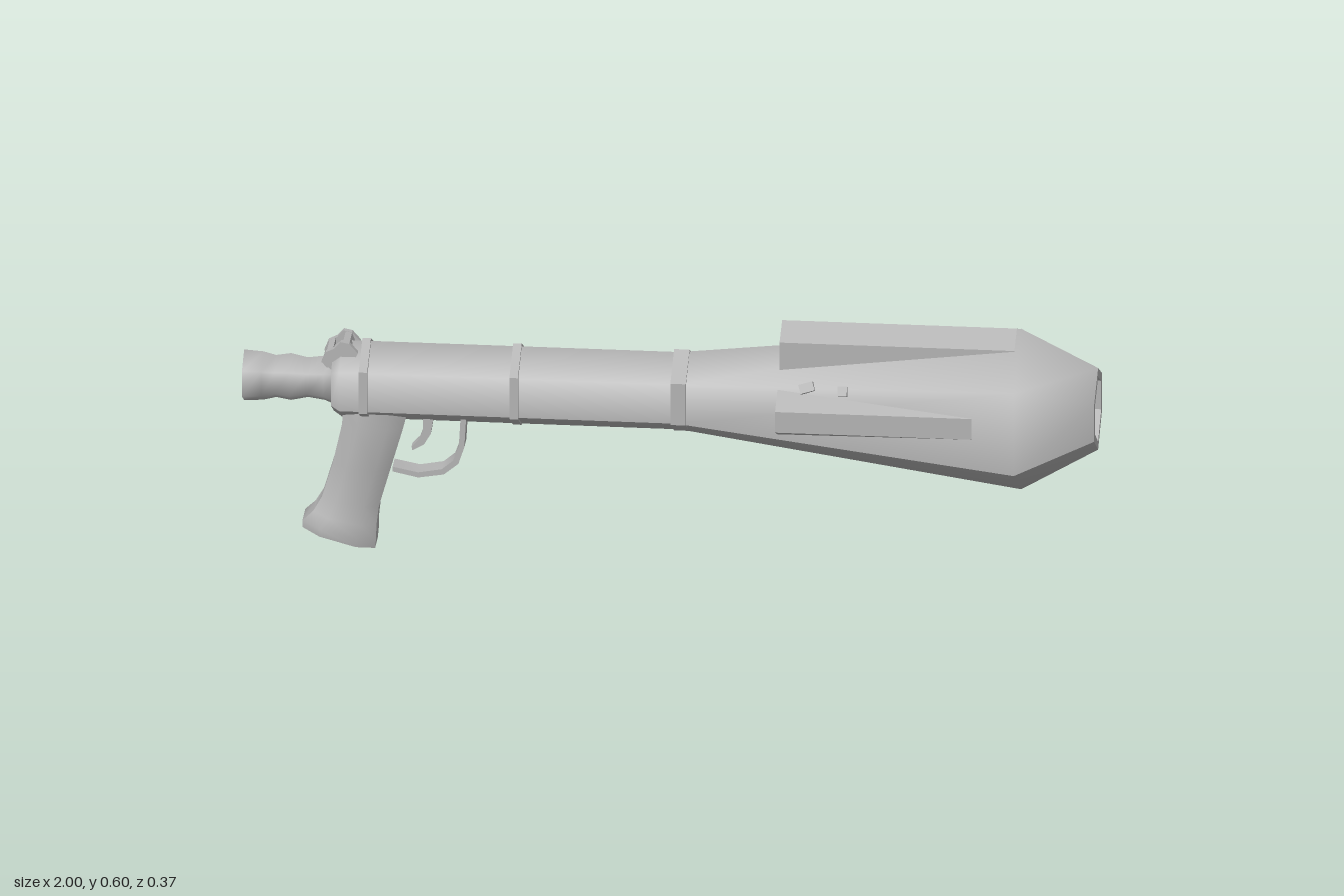
import * as THREE from 'three';
import { toCreasedNormals } from 'three/addons/utils/BufferGeometryUtils.js';

// Skin a list of rings; closed rings wrap round, caps fill the two ends.
// Without a crease angle the normals are smooth.
function loft(rings, { closed = true, capStart = false, capEnd = false, crease } = {}) {
  const n = rings[0].length;
  const index = [];
  for (let i = 0; i < rings.length - 1; i++) {
    for (let j = 0; j < (closed ? n : n - 1); j++) {
      const k = (j + 1) % n;
      const a = i * n + j, b = a + n, c = (i + 1) * n + k, d = i * n + k;
      index.push(a, b, c, a, c, d);
    }
  }
  const last = (rings.length - 1) * n;
  for (let j = 1; j < n - 1; j++) {
    if (capStart) index.push(0, j, j + 1);
    if (capEnd) index.push(last, last + j + 1, last + j);
  }
  const geo = new THREE.BufferGeometry();
  geo.setAttribute('position', new THREE.Float32BufferAttribute(rings.flat(2), 3));
  geo.setIndex(index);
  if (crease !== undefined) return toCreasedNormals(geo, crease);
  geo.computeVertexNormals();
  return geo;
}

// Six-sided ring across x: top, upper side, lower side, bottom, half width
const hex = ([x, top, upper, lower, bottom, z]) => [
  [x, lower, z], [x, upper, z], [x, top, 0],
  [x, upper, -z], [x, lower, -z], [x, bottom, 0],
];
const regularHex = (x, r, y = 0.413) =>
  hex([x, y + r, y + r / 2, y - r / 2, y - r, r * 0.866]);

// Side outline in x and y, extruded evenly to both sides of z
function plate(points, halfZ, z = 0) {
  const shape = new THREE.Shape(points.map(([x, y]) => new THREE.Vector2(x, y)));
  const geo = new THREE.ExtrudeGeometry(shape, { depth: 2 * halfZ, bevelEnabled: false });
  geo.translate(0, 0, z - halfZ);
  return toCreasedNormals(geo, 0.6);
}

export function createModel() {
  const model = new THREE.Group();
  const grey = new THREE.MeshStandardMaterial({ color: 0xb4b4b4, side: THREE.DoubleSide });
  grey.name = 'plain grey';
  const add = (name, geo) => {
    const mesh = new THREE.Mesh(geo, grey);
    mesh.name = name;
    model.add(mesh);
    return mesh;
  };

  // Tube and flared head: smooth upper shell, sharp line, smooth keel
  const body = [
    regularHex(-0.79, 0.082), regularHex(-0.77, 0.097),
    hex([0.02, 0.51, 0.462, 0.364, 0.315, 0.085]),
    hex([0.82, 0.6, 0.512, 0.305, 0.195, 0.187]),
    hex([1, 0.508, 0.455, 0.362, 0.302, 0.098]),
  ];
  add('upperShell', loft(body.map((r) => r.slice(0, 5)), { closed: false }));
  add('lowerShell', loft(body.map((r) => [r[4], r[5], r[0]]), { closed: false }));
  add('rearPlate', loft([regularHex(-0.79, 0.05), regularHex(-0.79, 0.082)].reverse(), { crease: 0.5 }));

  // Recessed muzzle
  add('muzzle', loft([
    hex([1, 0.508, 0.455, 0.362, 0.302, 0.098]),
    hex([1, 0.485, 0.444, 0.372, 0.322, 0.077]),
    hex([0.92, 0.485, 0.444, 0.372, 0.322, 0.077]),
  ], { capEnd: true, crease: 0.5 }));

  // Clamping bands round the tube
  for (const [x, w] of [[0.025, 0.036], [-0.36, 0.02], [-0.713, 0.02]]) {
    const ring = (px) => hex([px, 0.517, 0.468, 0.364, 0.312, 0.094]);
    add('band', loft([ring(x - w / 2), ring(x + w / 2)],
      { capStart: true, capEnd: true, crease: 0.5 }));
  }

  // Rear exhaust nozzle with a hollow end
  const nozzle = [[-1, 0.064], [-0.955, 0.061], [-0.925, 0.053], [-0.89, 0.059],
    [-0.85, 0.05], [-0.81, 0.056], [-0.78, 0.07]];
  add('nozzle', loft(nozzle.map(([x, r]) => regularHex(x, r))));
  add('nozzleBore', loft([regularHex(-0.93, 0.04), regularHex(-1, 0.05), regularHex(-1, 0.064)],
    { capStart: true, crease: 0.5 }));

  // Top scoop, open at the rear, following the roof-shaped head
  const topRing = (x, t) => [
    [x, 0.46, 0.065 - t], [x, 0.57 - t, 0.065 - t], [x, 0.6 - t, 0],
    [x, 0.57 - t, t - 0.065], [x, 0.46, t - 0.065],
  ];
  add('topScoop', loft([topRing(0.34, 0.012), topRing(0.26, 0.012), topRing(0.26, 0), topRing(0.81, 0)],
    { capStart: true, crease: 0.6 }));

  for (const s of [1, -1]) {
    // Side scoops, open at the rear
    const sideRing = (x, t) => {
      const r = [[x, 0.352 + t, 0.1], [x, 0.388 + t / 2, 0.175 - t],
        [x, 0.44 - t / 2, 0.175 - t], [x, 0.48 - t, 0.1]];
      return s > 0 ? r : r.map(([px, y, z]) => [px, y, -z]).reverse();
    };
    add('sideScoop', loft([sideRing(0.34, 0.01), sideRing(0.26, 0.01), sideRing(0.26, 0), sideRing(0.72, 0)],
      { capStart: true, crease: 0.3 }));

    // Small studs above each side scoop
    for (const [x, z, tilt, w] of [[0.33, 0.128, 0.3, 0.034], [0.415, 0.142, 0, 0.022]]) {
      const stud = add('stud', new THREE.BoxGeometry(w, 0.022, 0.028));
      stud.position.set(x, 0.484, s * z);
      stud.rotation.set(-s * 0.45, 0, tilt);
    }

    // Rear sight cheeks
    add('sightCheek', plate([[-0.815, 0.47], [-0.805, 0.495], [-0.785, 0.505], [-0.77, 0.522],
      [-0.75, 0.518], [-0.73, 0.495], [-0.745, 0.46], [-0.79, 0.45]], 0.007, s * 0.036));
  }
  // Sight cross pieces and base
  add('sightBase', plate([[-0.81, 0.46], [-0.8, 0.482], [-0.74, 0.492], [-0.74, 0.45], [-0.79, 0.44]], 0.034));
  add('sightRearBar', plate([[-0.812, 0.475], [-0.803, 0.496], [-0.788, 0.503], [-0.788, 0.47]], 0.034));
  add('sightFrontBar', plate([[-0.765, 0.48], [-0.765, 0.52], [-0.75, 0.517], [-0.74, 0.49]], 0.034));

  // Pistol grip: back x and y, front x and y, half width
  const octagon = [[-0.5, 1], [0.5, 1], [1, 0.55], [1, -0.55], [0.5, -1], [-0.5, -1], [-1, -0.55], [-1, 0.55]];
  const grip = [
    [-0.765, 0.36, -0.615, 0.345, 0.05], [-0.768, 0.31, -0.625, 0.305, 0.053],
    [-0.79, 0.21, -0.655, 0.2, 0.052], [-0.815, 0.125, -0.682, 0.105, 0.051],
    [-0.835, 0.09, -0.687, 0.06, 0.06], [-0.86, 0.066, -0.688, 0.025, 0.064],
    [-0.86, 0.048, -0.69, 0.002, 0.061],
  ].map(([xb, yb, xf, yf, z]) => octagon.map(([u, w]) => {
    const t = (u + 1) / 2;
    return [xb + (xf - xb) * t, yb + (yf - yb) * t, w * z];
  }));
  add('grip', loft(grip, { capStart: true, capEnd: true, crease: 0.85 }));

  // Trigger guard and trigger
  add('triggerGuard', plate([
    [-0.478, 0.33], [-0.482, 0.26], [-0.496, 0.218], [-0.53, 0.19], [-0.59, 0.18], [-0.65, 0.193],
    [-0.65, 0.205], [-0.59, 0.193], [-0.535, 0.203], [-0.508, 0.226], [-0.495, 0.262], [-0.491, 0.33],
  ], 0.025));
  add('trigger', plate([
    [-0.555, 0.33], [-0.562, 0.285], [-0.578, 0.258], [-0.605, 0.243],
    [-0.607, 0.252], [-0.588, 0.272], [-0.58, 0.295], [-0.58, 0.33],
  ], 0.012));

  return model;
}
